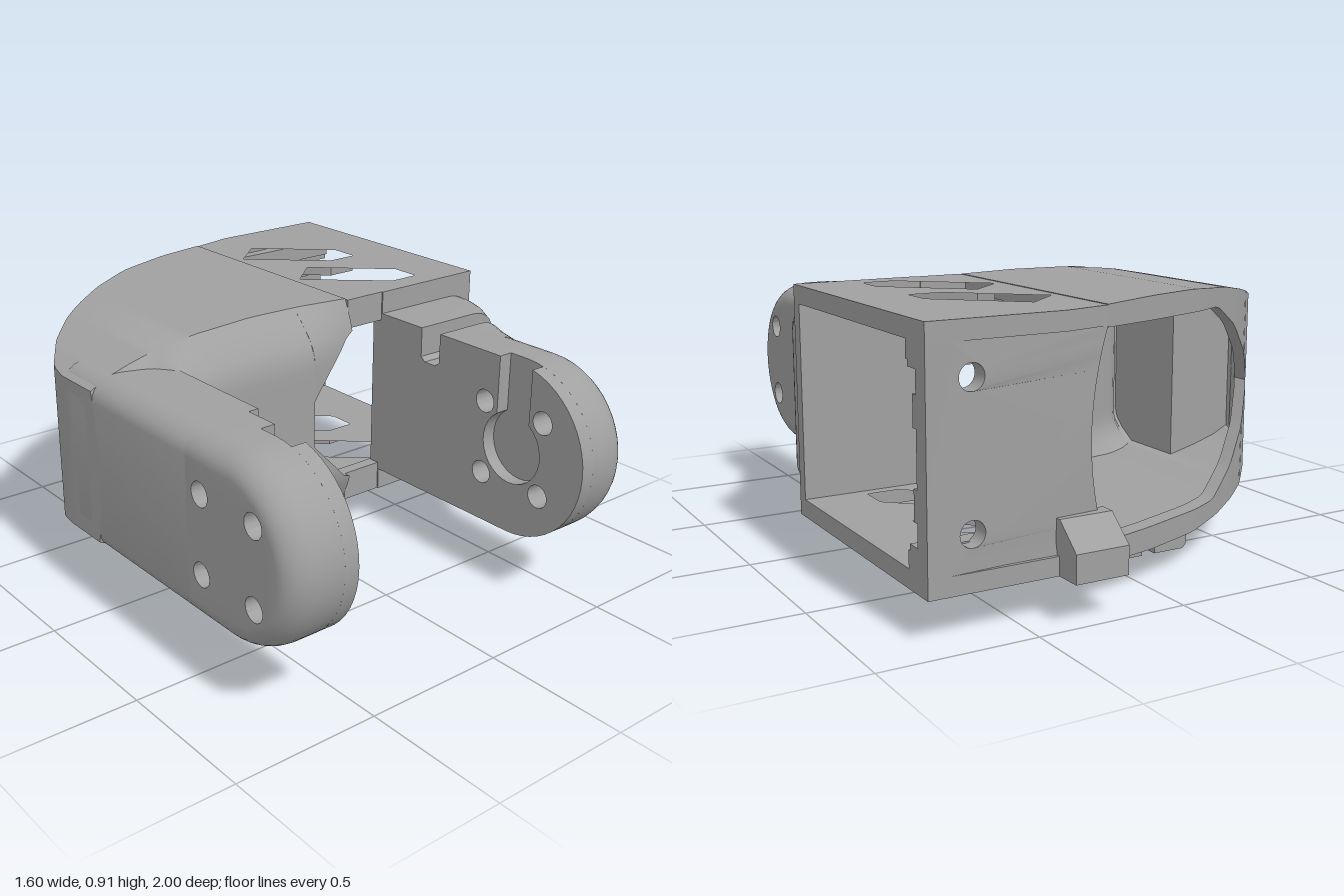
import * as THREE from 'three';
import { toCreasedNormals } from 'three/addons/utils/BufferGeometryUtils.js';

const MID = 0.515;   // height of the symmetry plane
const WALL = 0.06;   // shell thickness
const grey = new THREE.MeshStandardMaterial({ color: 0xa0a0a0 });
grey.name = 'grey plastic';

// Linear lookup in a list of [x, value]
function at(table, x) {
  if (x <= table[0][0]) return table[0][1];
  for (let i = 1; i < table.length; i++) {
    const [x0, a] = table[i - 1], [x1, b] = table[i];
    if (x <= x1) return a + (b - a) * (x - x0) / (x1 - x0);
  }
  return table[table.length - 1][1];
}

// Makes a mesh whose faces point outward, with sharp edges kept
function part(name, geometry, crease = 0.6) {
  const geo = geometry.index ? geometry.toNonIndexed() : geometry;
  geo.deleteAttribute('uv');
  geo.clearGroups();
  const p = geo.attributes.position;
  const v = i => new THREE.Vector3().fromBufferAttribute(p, i);
  let volume = 0;
  for (let i = 0; i < p.count; i += 3) volume += v(i).dot(v(i + 1).cross(v(i + 2)));
  if (volume < 0) for (let i = 0; i < p.count; i += 3) {
    const a = v(i), b = v(i + 1);
    p.setXYZ(i, b.x, b.y, b.z);
    p.setXYZ(i + 1, a.x, a.y, a.z);
  }
  geo.computeVertexNormals();
  const mesh = new THREE.Mesh(toCreasedNormals(geo, crease), grey);
  mesh.name = name;
  return mesh;
}

// Joins closed 2D rings at successive stations; place() puts a point in space
function loft(stations, ring, place) {
  const pos = [], index = [];
  const rings = stations.map(s => {
    const r = ring(s).map(([a, b]) => new THREE.Vector2(a, b));
    return THREE.ShapeUtils.area(r) < 0 ? r.reverse() : r;
  });
  const n = rings[0].length, last = rings.length - 1;
  rings.forEach((r, i) => r.forEach(q => pos.push(...place(stations[i], q.x, q.y))));
  for (let i = 0; i < last; i++) for (let j = 0; j < n; j++) {
    const a = i * n + j, b = i * n + (j + 1) % n;
    index.push(a, b, b + n, a, b + n, a + n);
  }
  for (const [a, b, c] of THREE.ShapeUtils.triangulateShape(rings[0], [])) index.push(c, b, a);
  for (const t of THREE.ShapeUtils.triangulateShape(rings[last], [])) index.push(...t.map(k => k + last * n));
  const geo = new THREE.BufferGeometry();
  geo.setAttribute('position', new THREE.Float32BufferAttribute(pos, 3));
  geo.setIndex(index);
  return geo;
}

const shapeOf = pts => new THREE.Shape(pts.map(([a, b]) => new THREE.Vector2(a, b)));
const circle = (x, y, r) => new THREE.Path().absarc(x, y, r, 0, Math.PI * 2, true);
const extrude = (shape, depth, steps = 1) =>
  new THREE.ExtrudeGeometry(shape, { depth, steps, bevelEnabled: false, curveSegments: 16 });
function move(geo, rule) {
  const p = geo.attributes.position;
  for (let i = 0; i < p.count; i++) p.setXYZ(i, ...rule(p.getX(i), p.getY(i), p.getZ(i)));
  return geo;
}
function box(name, x0, x1, y0, y1, z0, z1) {
  const geo = new THREE.BoxGeometry(x1 - x0, y1 - y0, z1 - z0);
  return part(name, geo.translate((x0 + x1) / 2, (y0 + y1) / 2, (z0 + z1) / 2));
}

// Body outlines along x
const BACK = [[-0.8, -0.2], [-0.785, -0.28], [-0.7, -0.41], [-0.6, -0.515], [-0.5, -0.59], [-0.37, -0.67],
  [-0.235, -0.74], [0, -0.82], [0.2, -0.875], [0.36, -0.91]];
const HALF = [[-0.8, 0.265], [-0.73, 0.3], [-0.65, 0.325], [-0.55, 0.35], [-0.4, 0.377], [-0.2, 0.393], [0, 0.394], [0.2, 0.387]];
const FRONT_EDGE = [[-0.8, -0.02], [-0.53, -0.02], [-0.37, 0], [0.2, 0.03]];
const FRONT_MID = [[-0.8, 0], [-0.6, 0.1], [-0.535, 0.25], [-0.51, 0.19], [-0.46, 0.135], [-0.4, 0.115], [-0.02, 0.135], [0.2, 0.08]];
const WINDOW = [[-0.71, 0], [-0.6, 0.13], [-0.48, 0.245], [-0.35, 0.32]];
const MOUTH = [[-0.02, 0.085], [0.18, 0.28]];

// Half cross-section of the curved shell, as [z, offset from the middle]
function shellRing(x, side) {
  const b = at(BACK, x), h = at(HALF, x), f0 = at(FRONT_EDGE, x), f1 = at(FRONT_MID, x);
  const w = at(WINDOW, x), g = x < -0.02 ? 0 : at(MOUTH, x);
  const front = v => f0 + (f1 - f0) * Math.sin(Math.PI / 2 * Math.min(1, (h - v) / 0.17));
  const outer = [[b, w], [b, h]], inner = [[b + WALL, w], [b + WALL, h - WALL]];
  for (let k = 0; k <= 8; k++) {
    const vo = h - (h - g) * k / 8, vi = h - WALL - (h - WALL - g) * k / 8;
    outer.push([front(vo), vo]);
    inner.push([front(vi) - WALL, vi]);
  }
  return [...outer, ...inner.reverse()].map(([z, v]) => [z, v * side]);
}

function body() {
  const g = new THREE.Group();
  g.name = 'body';
  // Curved shell in two mirrored halves
  const xs = [-0.0201, -0.0199];
  for (let i = 0; i <= 40; i++) xs.push(-0.8 + Math.pow(i / 40, 1.5));
  xs.sort((a, b) => a - b);
  for (const side of [1, -1]) g.add(part(side > 0 ? 'upperShell' : 'lowerShell',
    loft(xs, x => shellRing(x, side), (x, z, v) => [x, MID + v, z])));
  // Flat plates with two slanted slots
  for (const [name, y] of [['topPlate', 0.84], ['bottomPlate', 0.13]]) {
    const s = shapeOf([[0.2, 0.875], [0.36, 0.91], [0.8, 0.91], [0.8, -0.05], [0.2, -0.03]]);
    for (const dz of [0, 0.35]) s.holes.push(new THREE.Path(
      [[0.23, 0.61], [0.35, 0.715], [0.595, 0.49], [0.595, 0.385], [0.485, 0.385]].map(([a, b]) => new THREE.Vector2(a, b - dz))));
    g.add(part(name, extrude(s, WALL).rotateX(-Math.PI / 2).translate(0, y, 0)));
  }
  // Back wall with a curved window edge and screw holes
  const back = shapeOf([[0.2, 0.13], [0.36, 0.13], [0.8, 0.13], [0.8, 0.9], [0.36, 0.9], [0.2, 0.9], [0.2, 0.84]]);
  back.quadraticCurveTo(0.32, MID, 0.2, 0.19);
  back.holes.push(circle(0.66, 0.3, 0.04), circle(0.66, 0.74, 0.04));
  g.add(part('backWall', move(extrude(back, WALL), (x, y, z) => [x, y, at(BACK, x) + z])));
  // Stepped rails inside the back wall
  for (const s of [1, -1]) {
    const rail = (a, b, z) => g.add(box('rail', 0.3, 0.8, ...[MID + s * a, MID + s * b].sort((p, q) => p - q), -0.86, z));
    rail(0.25, 0.33, -0.8);
    rail(0.085, 0.18, -0.83);
    rail(0.3 - 0.03, 0.33, -0.79);
    g.add(box('frontLip', 0.2, 0.37, ...[MID + s * 0.28, MID + s * 0.385].sort((p, q) => p - q), 0, 0.045));
  }
  g.add(box('frontWall', 0.36, 0.8, 0.13, 0.9, 0.005, 0.05));
  return g;
}

// Arms
const R = 0.305, CZ = 0.695, THICK = 0.23, POCKET = 0.05, RX = 0.1, RY = 0.075;
const bolts = [-1, 1].flatMap(a => [-1, 1].map(b => [CZ + a * 0.127, b * 0.13]));
function arc(cx, r, from, to, n = 24) {
  return Array.from({ length: n + 1 }, (_, i) => {
    const t = from + (to - from) * i / n;
    return [cx + r * Math.cos(t), r * Math.sin(t)];
  });
}

// Rounded arm end with four holes and a keyhole pocket on the inner face
function armEnd(name, x0, side) {
  const g = new THREE.Group();
  g.name = name;
  const drill = s => { s.holes.push(...bolts.map(([z, y]) => circle(z, y, 0.04))); return s; };
  const a = Math.acos(0.07 / R), b = Math.acos(0.07 / 0.125);
  const inner = drill(shapeOf([[0.5, -R], ...arc(CZ, R, -Math.PI / 2, a),
    ...arc(CZ, 0.125, b, -Math.PI - b), [CZ - 0.07, R], [0.5, R]]));
  g.add(part('pocketLayer', move(extrude(inner, POCKET), (u, v, d) => [x0 + side * d, MID + v, u])));
  const r = R - RY, depth = THICK - POCKET;
  const outer = drill(shapeOf([[0.5, -r], ...arc(CZ, r, -Math.PI / 2, Math.PI / 2), [0.5, r]]));
  g.add(part('roundedLayer', move(extrude(outer, depth, 12), (u, v, d) => {
    const t = POCKET + depth * Math.sin(d / depth * Math.PI / 2);
    const e = Math.min(1, Math.max(0, t - THICK + RX) / RX);
    const k = bolts.some(([z, y]) => Math.hypot(u - z, v - y) < 0.041) ? 1
      : (r + RY * Math.sqrt(1 - e * e)) / r;
    return [x0 + side * t, MID + v * k, u > CZ ? CZ + (u - CZ) * k : u];
  })));
  return g;
}

// Arm root: rounded section swept along z; each station is [z, outer x, upper half height]
function armRoot(name, xi, side, stations) {
  const ring = ([, xo, top]) => {
    const pts = [[xi, -R]];
    for (let i = 0; i <= 6; i++) {
      const t = i / 6 * Math.PI / 2;
      pts.push([xo - side * RX * (1 - Math.sin(t)), -R + RY * (1 - Math.cos(t))]);
    }
    for (let i = 6; i >= 0; i--) {
      const t = i / 6 * Math.PI / 2;
      pts.push([xo - side * RX * (1 - Math.sin(t)), Math.min(top, R - RY * (1 - Math.cos(t)))]);
    }
    return [...pts, [xi, top]];
  };
  return part(name, loft(stations, ring, ([z], x, v) => [x, MID + v, z]));
}

export function createModel() {
  const model = new THREE.Group();
  model.name = 'bracket';
  model.add(body());
  model.add(armEnd('rightArmEnd', -0.57, -1), armEnd('leftArmEnd', 0.36, 1));
  model.add(armRoot('rightArmRoot', -0.535, -1, [[-0.2, -0.8, R], [0.5, -0.8, R]]));
  // Flared root with a cable notch across the top
  const flare = [[0.04, 0.795], [0.1, 0.79], [0.17, 0.765], [0.25, 0.715], [0.35, 0.655], [0.42, 0.622], [0.5, 0.595], [0.55, 0.59]];
  const cut = [[0.255, R], [0.256, 0.2], [0.275, 0.185], [0.325, 0.185], [0.344, 0.2], [0.345, R]];
  const zs = [[0.04, R], [0.07, R], [0.1, R], [0.135, R], [0.17, R], [0.21, R], ...cut, [0.38, R], [0.42, R], [0.46, R], [0.5, R]];
  model.add(armRoot('leftArmRoot', 0.36, 1, zs.map(([z, top]) => [z, at(flare, z), top])));
  // Wedge tab at the back
  const wedge = shapeOf([[0.86, 0.13], [1, 0.13], [1, 0.22], [0.91, 0.3], [0.86, 0.3]]);
  model.add(part('backTab', move(extrude(wedge, 0.18), (u, v, d) => [0.2 + d, v, -u])));
  // Cable clip under the body
  const half = [[0.025, 0], [0.025, 0.035], [0.065, 0.06], [0.065, 0.085], [0.035, 0.115]];
  const clip = shapeOf([[-0.155, 0.14], [-0.155, 0.015], [-0.14, 0], ...half.map(([x, y]) => [-x, y]),
    ...half.reverse(), [0.14, 0], [0.155, 0.015], [0.155, 0.14]]);
  model.add(part('cableClip', extrude(clip, 0.27).translate(-0.185, 0, -0.56)));
  return model;
}
